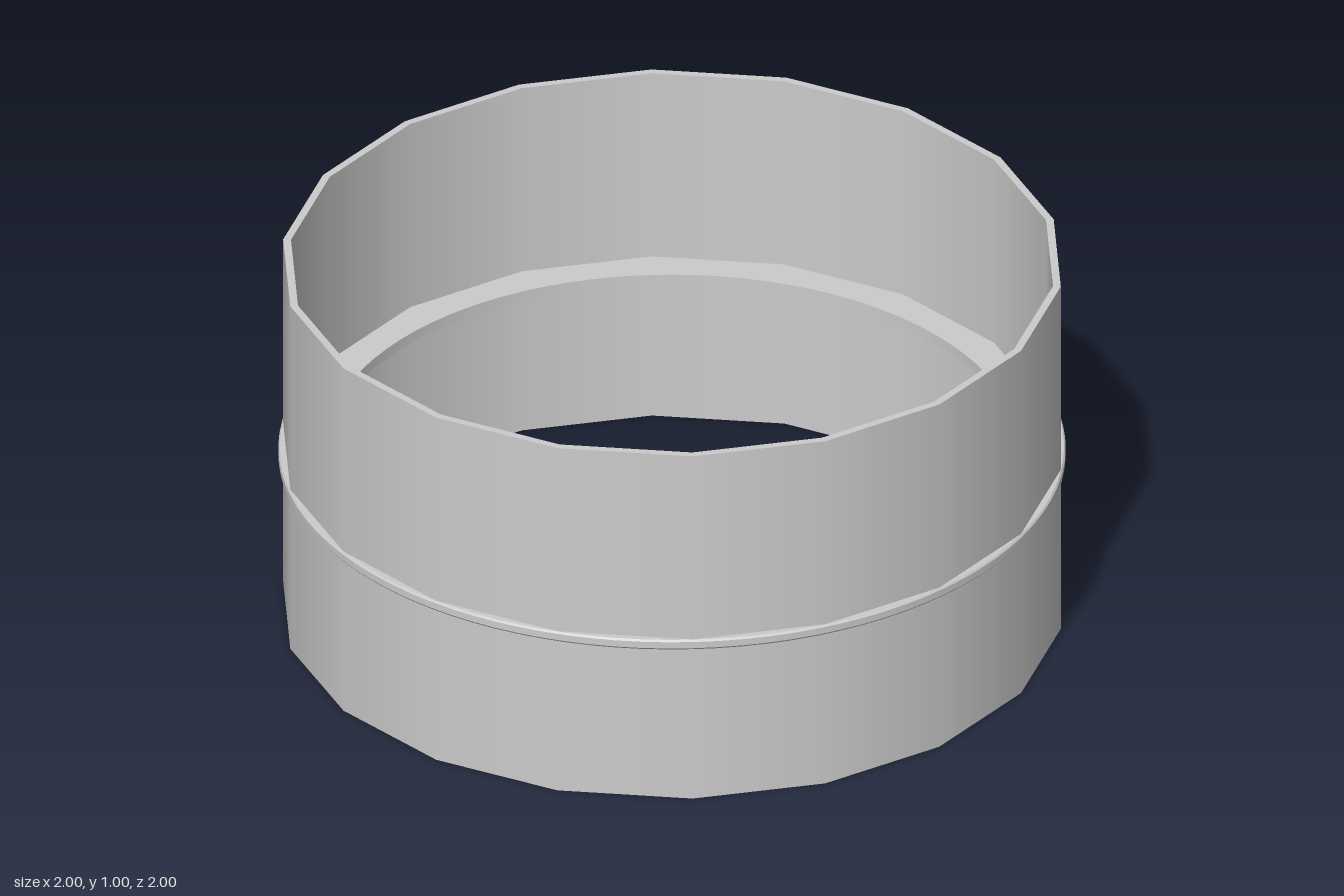
import * as THREE from 'three';
import { mergeGeometries } from 'three/addons/utils/BufferGeometryUtils.js';

// Closed ring: each profile side is its own lathe, so it is smooth around and sharp at its rims
function ringGeometry(profile, segments, start) {
  const sides = profile.map(([r, y], i) => {
    const [r2, y2] = profile[(i + 1) % profile.length];
    const points = [new THREE.Vector2(r, y), new THREE.Vector2(r2, y2)];
    return new THREE.LatheGeometry(points, segments, start, Math.PI * 2);
  });
  return mergeGeometries(sides);
}

export function createModel() {
  const group = new THREE.Group();
  const grey = new THREE.MeshStandardMaterial({ color: 0xcccccc });
  grey.name = 'light grey';

  const add = (name, geometry) => {
    const mesh = new THREE.Mesh(geometry, grey);
    mesh.name = name;
    group.add(mesh);
  };

  // Thin upright wall with eighteen sides
  add('wall', ringGeometry(
    [[0.995, 0], [0.995, 1], [0.975, 1], [0.975, 0]],
    18, THREE.MathUtils.degToRad(15)));

  // Flat round ledge through the wall, its outer rim slightly bevelled
  add('ledge', ringGeometry(
    [[0.996, 0.437], [1, 0.442], [1, 0.46], [0.996, 0.465], [0.88, 0.465], [0.88, 0.437]],
    96, 0));

  return group;
}
